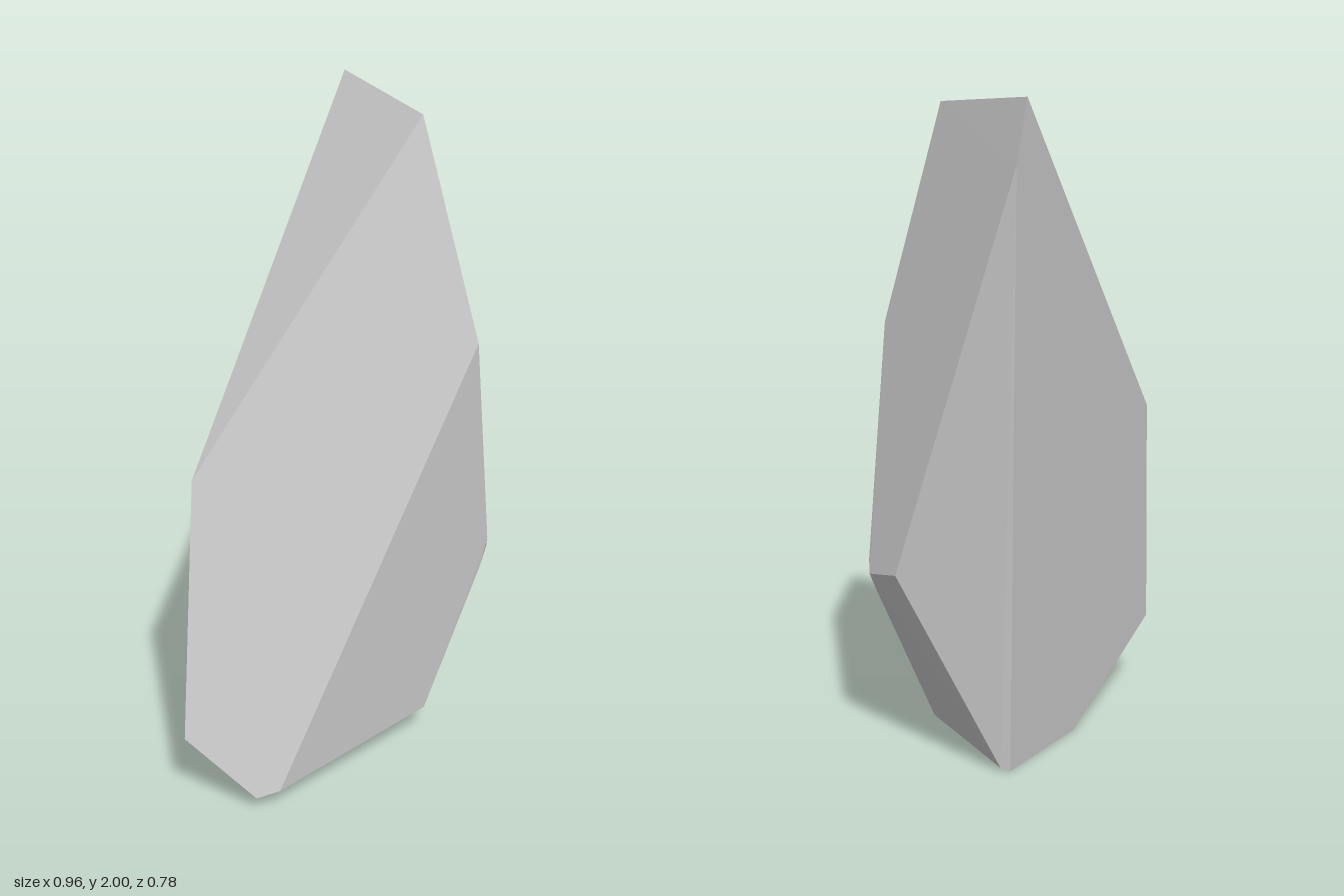
import * as THREE from 'three';
import { ConvexGeometry } from 'three/addons/geometries/ConvexGeometry.js';

export function createModel() {
  const group = new THREE.Group();
  group.name = 'rockShard';

  // Corners of the faceted stone, from the tip down
  const corners = [
    // tip ridge
    [0.10, 2.0, -0.385], [0.25, 1.965, 0], [0.13, 1.83, -0.39],
    // shoulders
    [0.40, 1.34, 0.115], [-0.42, 1.02, 0.205],
    // side bulge with a small chipped corner
    [0.425, 0.655, -0.13], [0.478, 0.66, 0.015], [0.48, 0.62, 0], [0.458, 0.56, 0.018],
    // lower corners
    [-0.48, 0.265, 0.355], [0.28, 0.11, 0.09], [-0.21, 0.07, 0.385], [-0.28, 0.055, 0.39],
    // foot edge
    [0.12, 0.015, -0.12], [0.09, 0, -0.12], [-0.17, 0, 0.112],
  ].map((p) => new THREE.Vector3(...p));

  const stone = new THREE.Mesh(
    new ConvexGeometry(corners),
    new THREE.MeshStandardMaterial({ color: 0xcccccc, flatShading: true })
  );
  stone.name = 'stone';
  group.add(stone);
  return group;
}
